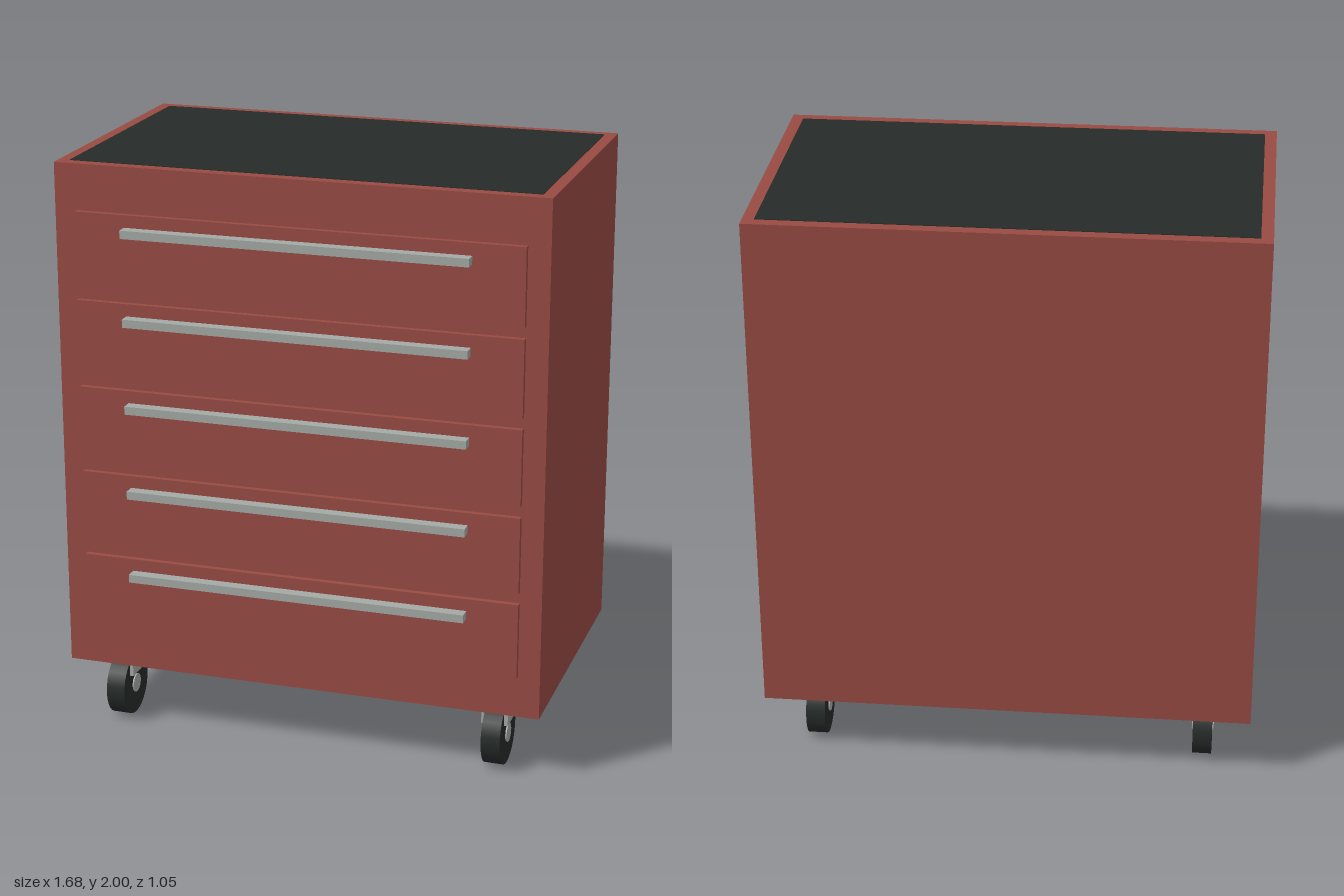
import * as THREE from 'three';

const red = new THREE.MeshStandardMaterial({ color: 0x984b43 });
const steel = new THREE.MeshStandardMaterial({ color: 0xa4aaa6 });
const rubber = new THREE.MeshStandardMaterial({ color: 0x262b2a });

// Box given by its extents on each axis
function box(name, material, [x0, x1], [y0, y1], [z0, z1]) {
  const mesh = new THREE.Mesh(new THREE.BoxGeometry(x1 - x0, y1 - y0, z1 - z0), material);
  mesh.position.set((x0 + x1) / 2, (y0 + y1) / 2, (z0 + z1) / 2);
  mesh.name = name;
  return mesh;
}

// Cylinder lying along x, centred on the origin
function disc(name, material, radius, width, sides) {
  const geometry = new THREE.CylinderGeometry(radius, radius, width, sides).rotateZ(Math.PI / 2);
  const mesh = new THREE.Mesh(geometry, material);
  mesh.name = name;
  return mesh;
}

function createDrawer() {
  const drawer = new THREE.Group();
  drawer.name = 'drawer';
  drawer.add(
    box('drawerFront', red, [-0.765, 0.765], [-0.132, 0.132], [0.455, 0.485]),
    box('drawerHandle', steel, [-0.59, 0.59], [0.062, 0.09], [0.48, 0.525])
  );
  return drawer;
}

function createCaster() {
  const caster = new THREE.Group();
  caster.name = 'caster';
  caster.add(
    disc('wheel', rubber, 0.11, 0.066, 28),
    disc('hub', steel, 0.033, 0.076, 20),
    box('bracket', steel, [-0.046, 0.046], [0.048, 0.1], [-0.054, 0.054])
  );
  return caster;
}

export function createModel() {
  const model = new THREE.Group();
  model.name = 'toolCabinet';

  // Cabinet with a dark mat set into the top
  model.add(
    box('cabinet', red, [-0.84, 0.84], [0.222, 1.998], [-0.525, 0.465]),
    box('topMat', rubber, [-0.8, 0.8], [1.98, 2], [-0.485, 0.425])
  );

  // Five equal drawers
  for (let i = 0; i < 5; i++) {
    const drawer = createDrawer();
    drawer.position.y = 0.499 + i * 0.3025;
    model.add(drawer);
  }

  // A caster near each corner
  for (const x of [-0.676, 0.676]) {
    for (const z of [-0.356, 0.36]) {
      const caster = createCaster();
      caster.position.set(x, 0.11, z);
      model.add(caster);
    }
  }
  return model;
}
